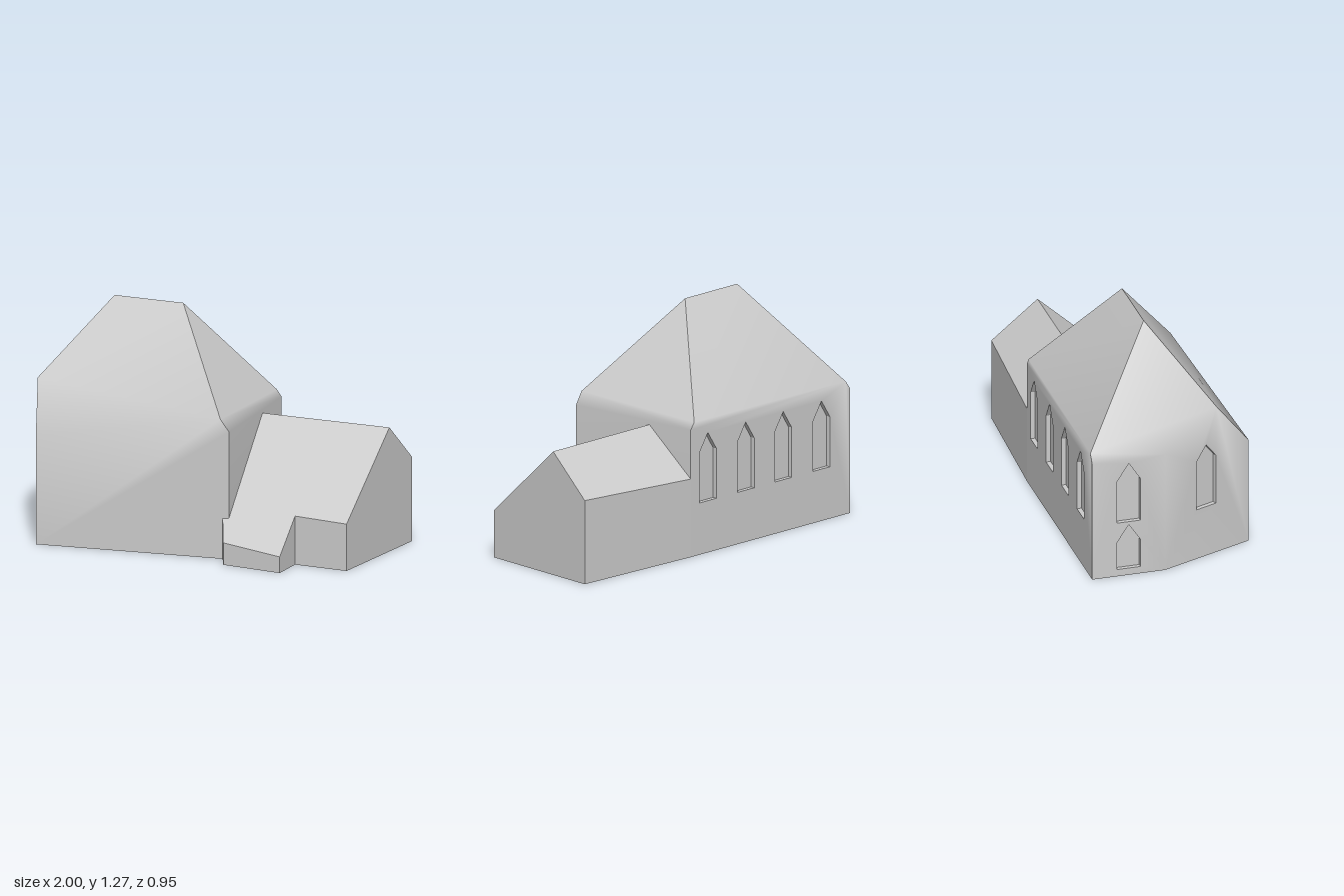
import * as THREE from 'three';
import { mergeVertices } from 'three/addons/utils/BufferGeometryUtils.js';

const stone = new THREE.MeshStandardMaterial({ color: 0xcccccc });
stone.name = 'pale stone';

const V = (x, y, z) => new THREE.Vector3(x, y, z);

// triangles of a flat polygon, counter-clockwise seen from outside, with optional holes
function face(outer, holes = []) {
  const n = V(0, 0, 0);
  outer.forEach((p, i) => n.add(p.clone().cross(outer[(i + 1) % outer.length])));
  n.normalize();
  const u = (Math.abs(n.y) > 0.9 ? V(1, 0, 0) : V(0, 1, 0)).cross(n).normalize();
  const v = n.clone().cross(u);
  const flat = loop => loop.map(p => new THREE.Vector2(p.dot(u), p.dot(v)));
  const all = [outer, ...holes].flat();
  const out = [];
  for (const [i, j, k] of THREE.ShapeUtils.triangulateShape(flat(outer), holes.map(flat))) {
    const a = all[i], b = all[j], c = all[k];
    const facing = b.clone().sub(a).cross(c.clone().sub(a)).dot(n);
    out.push(...(facing > 0 ? [a, b, c] : [a, c, b]));
  }
  return out;
}

// upright wall under a run of top points, listed left to right from outside
function wall(tops, holes) {
  const a = tops[0], b = tops[tops.length - 1];
  return face([V(a.x, 0, a.z), V(b.x, 0, b.z), ...[...tops].reverse()], holes);
}

function mesh(name, points, smooth = false) {
  let g = new THREE.BufferGeometry().setFromPoints(points);
  if (smooth) g = mergeVertices(g, 1e-4);
  g.computeVertexNormals();
  const m = new THREE.Mesh(g, stone);
  m.name = name;
  return m;
}

// pointed window outline on the wall from a to b
function lancet(a, b, dist, bottom, spring, apex, width = 0.13) {
  const dir = V(b[0] - a[0], 0, b[1] - a[1]).normalize();
  const at = (d, y) => V(a[0], y, a[1]).addScaledVector(dir, dist + d);
  const h = width / 2;
  const loop = [at(-h, bottom), at(h, bottom), at(h, spring), at(0, apex), at(-h, spring)];
  loop.inward = V(dir.z, 0, -dir.x);
  return loop;
}

// reveals and pane sunk behind a window outline
function recess(loop, depth = 0.025) {
  const inner = loop.map(p => p.clone().addScaledVector(loop.inward, depth));
  const tris = face(inner);
  loop.forEach((p, i) => {
    const j = (i + 1) % loop.length;
    tris.push(...face([p, loop[j], inner[j], inner[i]]));
  });
  return mesh('recessedWindow', tris);
}

export function createModel() {
  const model = new THREE.Group();
  model.name = 'chapel';

  // hall footprint corners (x, z) and roof planes
  const A = [-1, -0.475], B = [-1, -0.07], C = [-0.79, 0.455], D = [0.275, 0.32], E = [0.222, -0.47];
  const front = (x, z) => 1.27 - 1.31 * (z + 0.06);
  const back = (x, z) => 1.27 + 1.3 * (z + 0.06);
  const left = (x, z) => 1.27 + 1.345 * (x + 0.565);
  const right = (x, z) => 1.27 - 1.377 * (x + 0.165) + 0.0907 * (z + 0.06);
  const on = (plane, [x, z]) => V(x, plane(x, z), z);
  // where the hip between two roof planes meets a wall
  const hip = (a, b, p, q) => {
    const d0 = p(...a) - q(...a), d1 = p(...b) - q(...b), t = d0 / (d0 - d1);
    return on(p, [a[0] + (b[0] - a[0]) * t, a[1] + (b[1] - a[1]) * t]);
  };
  const R1 = V(-0.565, 1.27, -0.06), R2 = V(-0.165, 1.27, -0.06);
  const hipFL = hip(B, C, left, front), hipFR = hip(C, D, front, right);
  const hipBR = hip(E, A, back, right), hipBL = hip(E, A, back, left);
  const tA = on(left, A), tB = on(left, B), tC = on(front, C), tD = on(right, D), tE = on(right, E);

  // windows
  const backWindows = [0.132, 0.422, 0.709, 1.002].map(d => lancet(E, A, d, 0.285, 0.56, 0.66));
  const endWindows = [lancet(A, B, 0.203, 0.315, 0.56, 0.66), lancet(A, B, 0.203, 0.04, 0.2, 0.297)];
  const cornerWindow = lancet(B, C, 0.278, 0.29, 0.575, 0.655);

  // hall: each wall blends softly into its roof slope
  const hall = new THREE.Group();
  hall.name = 'hall';
  hall.add(
    mesh('frontSide', [...wall([tC, hipFR, tD]), ...face([hipFL, tC, hipFR, R2, R1])], true),
    mesh('leftSide', [...wall([tD, tE]), ...face([hipFR, tD, tE, hipBR, R2])], true),
    mesh('backSide', [...wall([tE, hipBR, hipBL, tA], backWindows), ...face([hipBR, hipBL, R1, R2])], true),
    mesh('rightSide', [...wall([tA, tB], endWindows), ...wall([tB, hipFL, tC], [cornerWindow]),
      ...face([hipBL, tA, tB, hipFL, R1])], true),
    ...[...backWindows, ...endWindows, cornerWindow].map(w => recess(w)),
  );
  model.add(hall);

  // lower annex with a long front slope
  const aFront = (x, z) => 0.68 - 0.9 * (z + 0.185);
  const aBack = (x, z) => 0.68 + 0.877 * (z + 0.185);
  const [K, J, I, H, G] = [[0.24, 0.324], [0.295, 0.437], [0.64, 0.472], [0.64, 0.275], [0.945, 0.285]]
    .map(p => on(aFront, p));
  const F = on(aBack, [1, -0.435]), E2 = on(aBack, E);
  const RL = V(0.241, 0.68, -0.185), RR = V(0.981, 0.68, -0.185);
  const annex = new THREE.Group();
  annex.name = 'annex';
  annex.add(
    mesh('annexRoof', [...face([RL, K, J, I, H, G, RR]), ...face([RL, RR, F, E2])]),
    mesh('annexWalls', [[K, J], [J, I], [I, H], [H, G], [G, RR, F], [F, E2]].flatMap(t => wall(t))),
  );
  model.add(annex);

  // underside
  const outline = [A, E, [F.x, F.z], ...[G, H, I, J, K].map(p => [p.x, p.z]), C, B];
  model.add(mesh('base', face(outline.map(([x, z]) => V(x, 0, z)))));
  return model;
}
